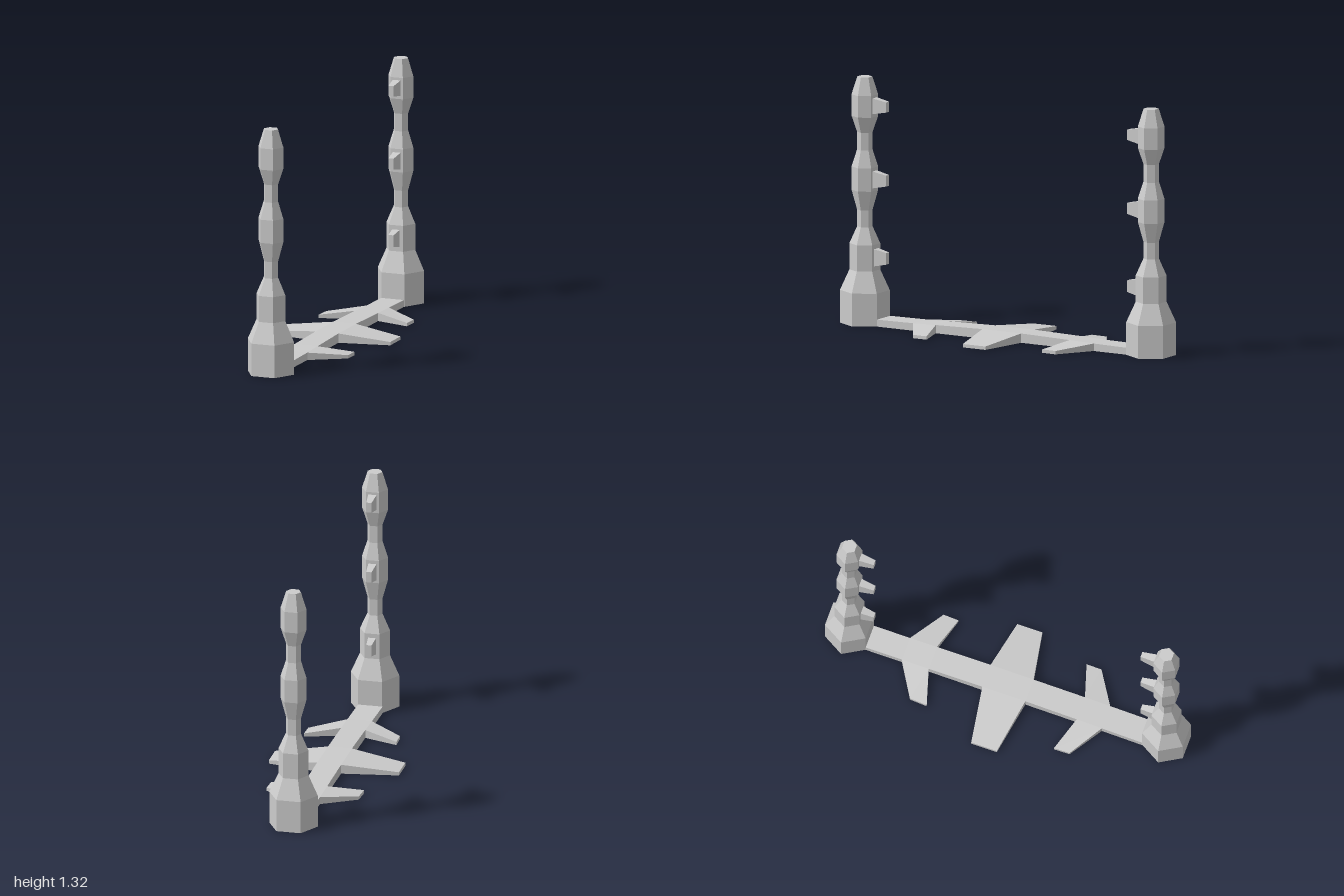
import * as THREE from 'three';

const material = new THREE.MeshStandardMaterial({ color: 0xcccccc, flatShading: true, side: THREE.DoubleSide });

function addMesh(parent, name, geometry) {
  const mesh = new THREE.Mesh(geometry, material);
  mesh.name = name;
  parent.add(mesh);
  return mesh;
}

// Hexagonal post, open underneath: [radius, height]
const postProfile = [
  [0.131, 0], [0.131, 0.175], [0.081, 0.285], [0.081, 0.425], [0.041, 0.515], [0.041, 0.605],
  [0.07, 0.71], [0.07, 0.835], [0.041, 0.925], [0.041, 1.02], [0.07, 1.105], [0.07, 1.22],
  [0.04, 1.315], [0, 1.315],
].map(([r, y]) => new THREE.Vector2(r, y));

// Peg pointing to -z, narrowing towards its tip
function pegGeometry(height) {
  const near = -0.05, tip = -0.14;
  const geo = new THREE.BoxGeometry(0.046, height, near - tip);
  geo.translate(0, 0, (near + tip) / 2);
  const p = geo.attributes.position;
  for (let i = 0; i < p.count; i++) {
    if (p.getZ(i) < -0.1) p.setXY(i, p.getX(i) * 0.62, p.getY(i) * 0.62);
  }
  geo.computeVertexNormals();
  return geo;
}

function createPost(name) {
  const post = new THREE.Group();
  post.name = name;
  addMesh(post, 'postColumn', new THREE.LatheGeometry(postProfile, 6, Math.PI / 2));
  for (const [y, height] of [[0.356, 0.1], [0.771, 0.094], [1.164, 0.088]]) {
    addMesh(post, 'peg', pegGeometry(height)).position.y = y;
  }
  return post;
}

// Flat-bottomed plate with a spine and three pairs of tapered wings
function baseGeometry() {
  // Spine stations from back to front: z, left x, right x, top height
  const spine = [
    [-0.772, -0.046, 0.083, 0.037], [-0.57, -0.047, 0.081, 0.04], [-0.42, -0.05, 0.08, 0.044],
    [-0.12, -0.053, 0.077, 0.05], [0.12, -0.054, 0.075, 0.05], [0.407, -0.057, 0.074, 0.044],
    [0.548, -0.059, 0.073, 0.04], [0.772, -0.063, 0.07, 0.037],
  ];
  // Wing tips keyed by the station where the root starts: [x, z] back then front
  const tips = {
    1: { left: [[-0.23, -0.46], [-0.236, -0.365]], right: [[0.27, -0.45], [0.266, -0.365]] },
    3: { left: [[-0.355, -0.075], [-0.355, 0.068]], right: [[0.35, -0.068], [0.35, 0.072]] },
    5: { left: [[-0.24, 0.345], [-0.238, 0.432]], right: [[0.26, 0.35], [0.258, 0.434]] },
  };
  const verts = [];
  const quad = (a, b, c, d) => verts.push(...a, ...b, ...c, ...a, ...c, ...d);
  const floor = ([x, , z]) => [x, 0, z];
  const slab = (a, b, c, d) => {
    quad(a, b, c, d);
    quad(floor(d), floor(c), floor(b), floor(a));
  };
  const leftEdge = [], rightEdge = [];
  spine.forEach(([z, xl, xr, h], i) => {
    const l = [xl, h, z], r = [xr, h, z];
    leftEdge.push(l);
    rightEdge.push(r);
    if (i === spine.length - 1) return;
    const [z2, xl2, xr2, h2] = spine[i + 1];
    const l2 = [xl2, h2, z2], r2 = [xr2, h2, z2];
    slab(l, l2, r2, r);
    if (!tips[i]) return;
    const lift = ([x, zt]) => [x, 0.018, zt];
    const [lb, lf] = tips[i].left.map(lift);
    const [rb, rf] = tips[i].right.map(lift);
    slab(lb, lf, l2, l);
    slab(r, r2, rf, rb);
    leftEdge.push(lb, lf);
    rightEdge.push(rb, rf);
  });
  // Side walls around the outline
  const outline = [...leftEdge, ...rightEdge.reverse()];
  outline.forEach((a, i) => {
    const b = outline[(i + 1) % outline.length];
    quad(floor(a), floor(b), b, a);
  });
  const geo = new THREE.BufferGeometry();
  geo.setAttribute('position', new THREE.Float32BufferAttribute(verts, 3));
  geo.computeVertexNormals();
  return geo;
}

export function createModel() {
  const model = new THREE.Group();
  model.name = 'postStand';
  addMesh(model, 'basePlate', baseGeometry());
  const front = createPost('frontPost');
  front.position.set(0.005, 0, 0.886);
  const back = createPost('backPost');
  back.position.set(0.02, 0, -0.886);
  back.rotation.y = Math.PI;
  model.add(front, back);
  return model;
}
